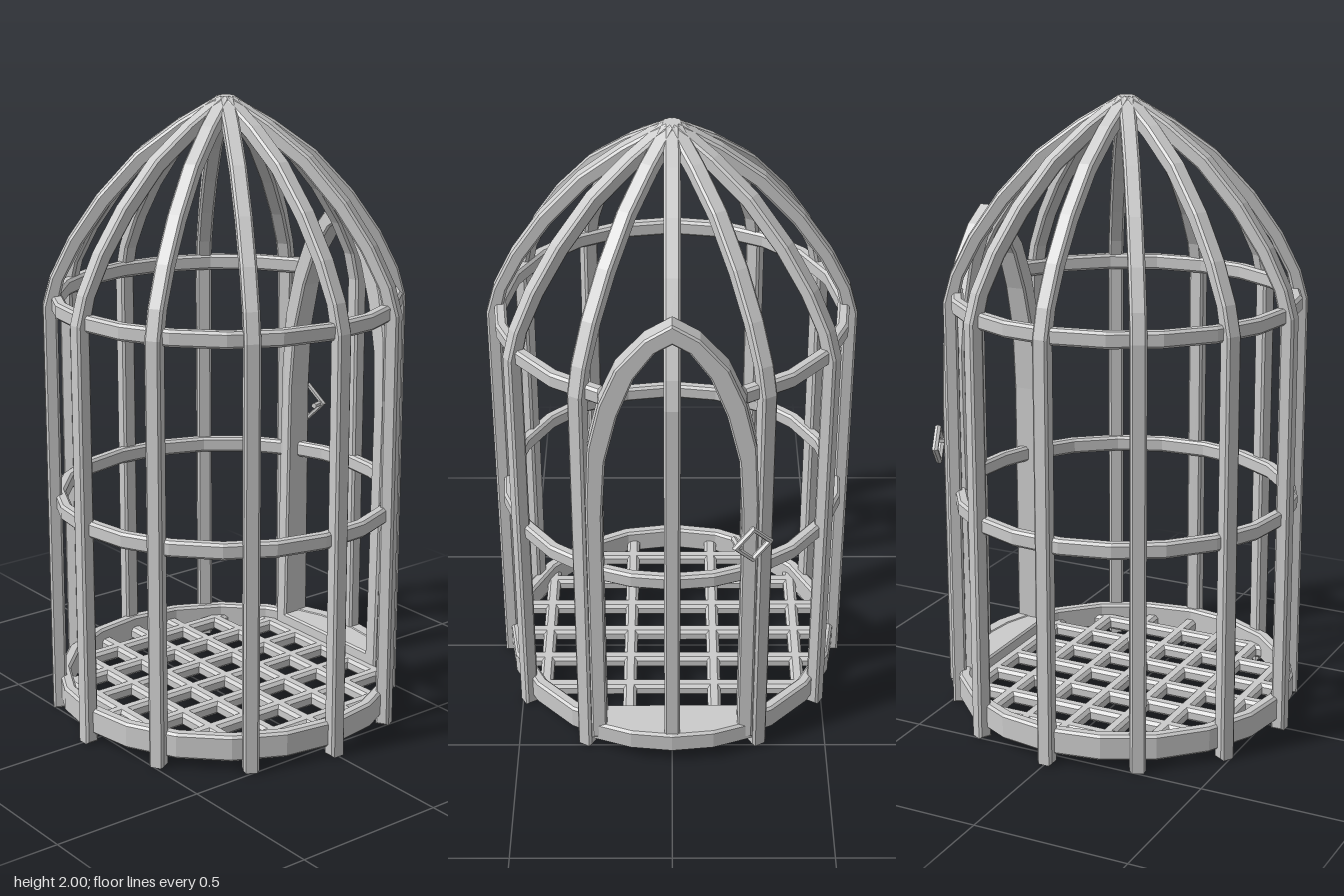
import * as THREE from 'three';

const grey = new THREE.MeshStandardMaterial({ color: 0xcccccc, flatShading: true, side: THREE.DoubleSide });

function add(parent, name, geometry) {
  const mesh = new THREE.Mesh(geometry, grey);
  mesh.name = name;
  parent.add(mesh);
  return mesh;
}

const toShape = pts => new THREE.Shape(pts.map(p => new THREE.Vector2(...p)));

// Extrusion centred on z with small chamfers that stay inside the outline
function slab(shape, depth, bevel) {
  const g = new THREE.ExtrudeGeometry(shape, {
    depth: depth - 2 * bevel, bevelEnabled: true, bevelSegments: 1,
    bevelSize: bevel, bevelThickness: bevel, bevelOffset: -bevel
  });
  return g.translate(0, 0, bevel - depth / 2);
}

// Upright that bends into the dome; profile in the radius/height plane
function barGeometry(bottom) {
  const outer = [[0.575, bottom], [0.575, 1.36], [0.55, 1.45], [0.49, 1.57], [0.4, 1.7],
    [0.28, 1.83], [0.15, 1.925], [0.02, 2], [0, 2]];
  const inner = [[0, 1.955], [0.125, 1.885], [0.25, 1.795], [0.365, 1.67], [0.45, 1.55],
    [0.508, 1.44], [0.53, 1.35], [0.53, bottom]];
  return slab(toShape([...outer, ...inner]), 0.05, 0.007);
}

// Hoop with chamfered rectangular section; gap is the half angle left open at the back
function hoop(r0, r1, y0, y1, start, sweep, segments) {
  const c = 0.008;
  const pts = [[r0 + c, y0], [r1 - c, y0], [r1, y0 + c], [r1, y1 - c], [r1 - c, y1],
    [r0 + c, y1], [r0, y1 - c], [r0, y0 + c], [r0 + c, y0]];
  return new THREE.LatheGeometry(pts.map(p => new THREE.Vector2(...p)), segments, start, sweep);
}

// Closed pointed arch outline from its right half
const mirrorHalf = half => [...half, ...half.slice(0, -1).reverse().map(([x, y]) => [-x, y])];

export function createModel() {
  const model = new THREE.Group();
  model.name = 'cage';

  // Twelve uprights meeting at the top; the back one belongs to the door
  const bars = new THREE.Group();
  bars.name = 'bars';
  model.add(bars);
  for (let i = 0; i < 12; i++) {
    const back = i === 3;
    const bar = add(bars, back ? 'doorBar' : 'bar', barGeometry(back ? 0.06 : 0));
    bar.rotation.y = i * Math.PI / 6;
  }

  // Hoops, the upper ones open at the doorway
  add(model, 'baseRing', hoop(0.515, 0.555, 0.03, 0.115, 0, Math.PI * 2, 20));
  for (const [name, y, gap] of [['middleRing', 0.69, 0.46], ['upperRing', 1.34, 0.4]]) {
    add(model, name, hoop(0.517, 0.555, y, y + 0.052, Math.PI + gap, 2 * (Math.PI - gap), 18));
  }

  // Lattice floor
  const floor = new THREE.Group();
  floor.name = 'floorLattice';
  model.add(floor);
  for (let i = -3; i <= 3; i++) {
    const p = i * 0.14;
    const length = 2 * Math.sqrt(0.53 ** 2 - p * p);
    const section = [[-0.022, 0.045], [-0.012, 0.035], [0.012, 0.035], [0.022, 0.045],
      [0.022, 0.068], [0.012, 0.078], [-0.012, 0.078], [-0.022, 0.068]];
    const slat = new THREE.ExtrudeGeometry(toShape(section), { depth: length, bevelEnabled: false });
    slat.translate(0, 0, -length / 2);
    add(floor, 'floorSlat', slat).position.x = p;
    const cross = add(floor, 'floorCrossSlat', slat);
    cross.rotation.y = Math.PI / 2;
    cross.position.z = p;
  }

  // Pointed door frame with threshold, its inner face leaning back towards the top
  const door = new THREE.Group();
  door.name = 'door';
  model.add(door);
  const frame = toShape(mirrorHalf([[0.26, 0.06], [0.26, 1.0], [0.25, 1.2], [0.215, 1.35],
    [0.165, 1.47], [0.08, 1.57], [0, 1.62]]));
  const opening = mirrorHalf([[0.21, 0.115], [0.21, 0.95], [0.198, 1.15], [0.16, 1.31],
    [0.11, 1.44], [0.05, 1.525], [0, 1.555]]);
  frame.holes.push(new THREE.Path(opening.map(p => new THREE.Vector2(...p))));
  const frameGeometry = slab(frame, 0.1, 0.006).translate(0, 0, -0.48);
  const pos = frameGeometry.attributes.position;
  for (let i = 0; i < pos.count; i++) {
    if (pos.getZ(i) > -0.48) pos.setZ(i, pos.getZ(i) - 0.04 * (pos.getY(i) / 1.62) ** 2);
  }
  frameGeometry.computeVertexNormals();
  add(door, 'doorFrame', frameGeometry);

  // Sill and crossbar following the curve of the cage
  add(door, 'doorSill', hoop(0.53, 0.583, 0.045, 0.118, Math.PI - 0.46, 0.92, 4));
  add(door, 'doorCrossbar', hoop(0.525, 0.56, 0.69, 0.742, Math.PI - 0.46, 0.92, 4));

  // Diamond pull on a short post
  const pull = new THREE.Group();
  pull.name = 'doorPull';
  pull.position.set(-0.243, 0.87, -0.557);
  pull.rotation.y = 0.35;
  door.add(pull);
  add(pull, 'pullRing', new THREE.TorusGeometry(0.056, 0.011, 6, 4));
  const post = add(pull, 'pullPost', new THREE.CylinderGeometry(0.01, 0.01, 0.05, 6));
  post.rotation.x = Math.PI / 2;
  post.position.set(0.045, 0, 0.02);

  return model;
}
